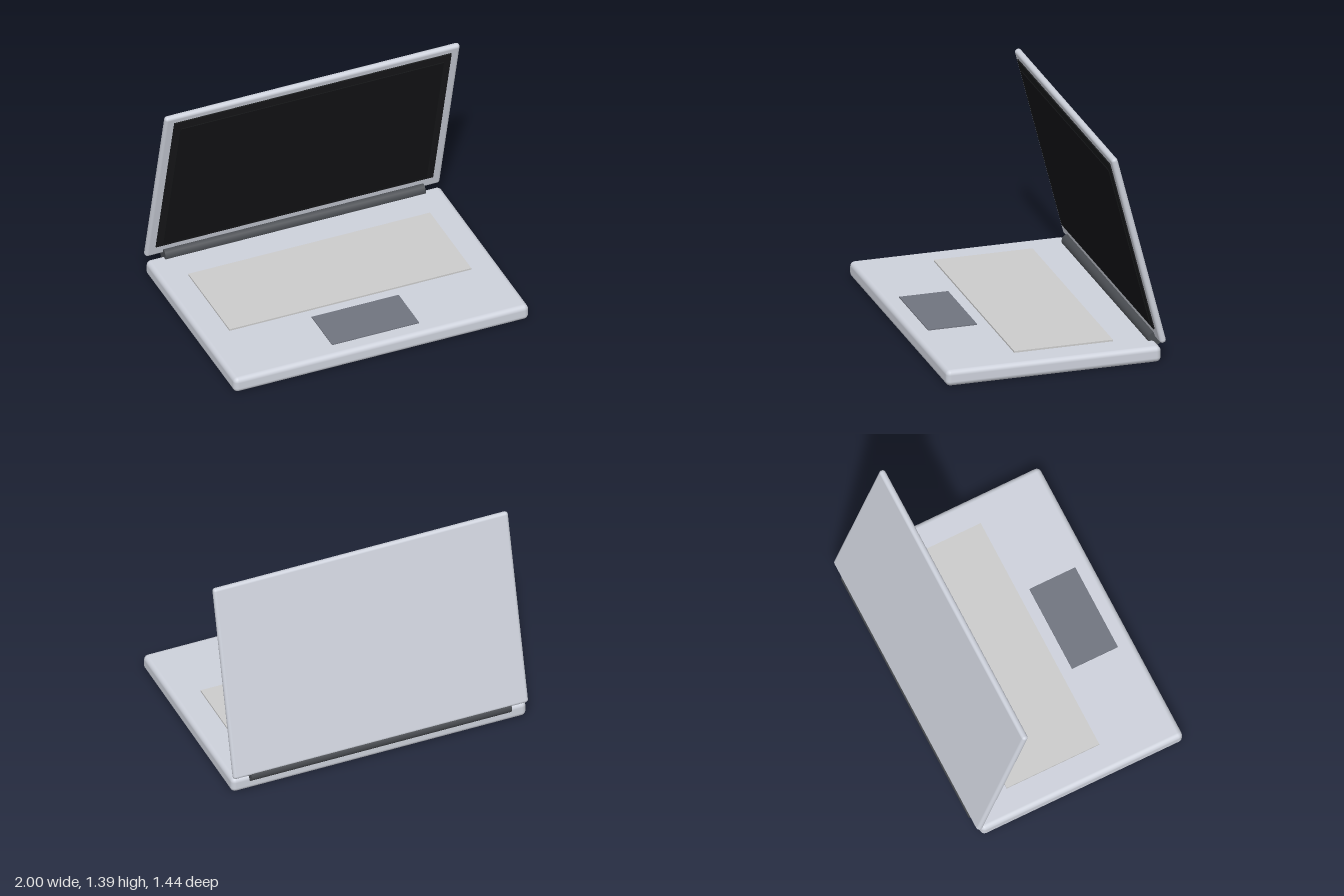
import * as THREE from 'three';
import { RoundedBoxGeometry } from 'three/addons/geometries/RoundedBoxGeometry.js';

const material = (color) => new THREE.MeshStandardMaterial({ color });

function addPart(parent, name, geometry, mat, x, y, z) {
  const mesh = new THREE.Mesh(geometry, mat);
  mesh.name = name;
  mesh.position.set(x, y, z);
  parent.add(mesh);
  return mesh;
}

export function createModel() {
  const model = new THREE.Group();
  model.name = 'laptop';

  const shell = material(0xcdd1db);
  const keys = material(0xcccccc);
  const slate = material(0x70747f);
  const dark = material(0x4a4d52);
  const bezelBlack = material(0x17181a);
  const displayBlack = material(0x131416);

  // Lower body with keyboard deck and trackpad
  addPart(model, 'base', new RoundedBoxGeometry(2, 0.105, 1.405, 3, 0.032), shell, 0, 0.0525, 0.0175);
  addPart(model, 'keyboard', new THREE.BoxGeometry(1.64, 0.02, 0.645), keys, 0, 0.106, -0.1);
  addPart(model, 'trackpad', new THREE.BoxGeometry(0.59, 0.016, 0.32), slate, 0, 0.104, 0.457);

  // Hinge barrel along the rear edge
  const barrel = new THREE.CylinderGeometry(0.045, 0.045, 1.765, 24).rotateZ(Math.PI / 2);
  addPart(model, 'hinge', barrel, dark, 0, 0.115, -0.677);

  // Lid tilted about its centre, with the screen on its front face
  const lid = new THREE.Group();
  lid.name = 'lid';
  lid.position.set(0, 0.759, -0.538);
  lid.rotation.x = 0.25;
  model.add(lid);
  addPart(lid, 'lidShell', new RoundedBoxGeometry(2, 1.31, 0.042, 3, 0.02), shell, 0, 0, 0);
  addPart(lid, 'screenBezel', new THREE.BoxGeometry(1.88, 1.175, 0.016), bezelBlack, 0, 0.02, 0.021);
  addPart(lid, 'display', new THREE.BoxGeometry(1.785, 1.09, 0.012), displayBlack, 0, 0, 0.028);

  return model;
}
